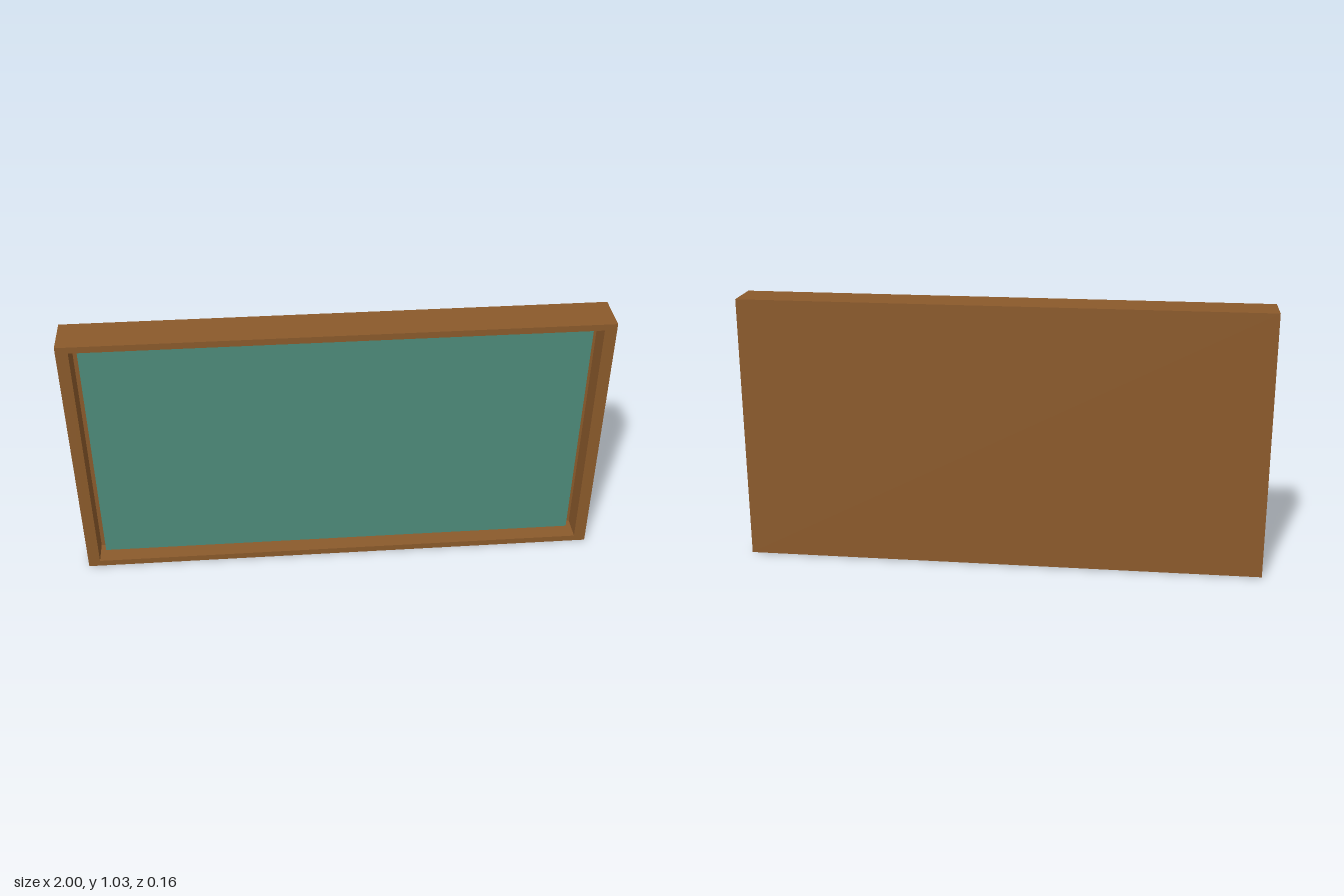
import * as THREE from 'three';

const WIDTH = 2, HEIGHT = 1.03;
const Z_BACK = -0.078, Z_PANEL = -0.016, Z_BOARD = 0.015, Z_FRONT = 0.078;

export function createModel() {
  const model = new THREE.Group();
  model.name = 'framedBoard';

  const wood = new THREE.MeshStandardMaterial({ color: 0x8b5a2b });
  wood.name = 'brown wood';
  const green = new THREE.MeshStandardMaterial({ color: 0x4d8b7a });
  green.name = 'board green';

  const add = (name, geometry, material) => {
    const mesh = new THREE.Mesh(geometry, material);
    mesh.name = name;
    model.add(mesh);
  };

  // Box spanning the given heights and depths, centred on x
  const slab = (width, y0, y1, z0, z1) =>
    new THREE.BoxGeometry(width, y1 - y0, z1 - z0)
      .translate(0, (y0 + y1) / 2, (z0 + z1) / 2);

  const rectangle = (path, halfWidth, y0, y1) => {
    path.moveTo(-halfWidth, y0);
    path.lineTo(halfWidth, y0);
    path.lineTo(halfWidth, y1);
    path.lineTo(-halfWidth, y1);
    path.closePath();
    return path;
  };

  // Frame: rectangular ring with wider side bars
  const outline = rectangle(new THREE.Shape(), WIDTH / 2, 0, HEIGHT);
  outline.holes.push(rectangle(new THREE.Path(), 0.955, 0.025, 1.005));
  const frame = new THREE.ExtrudeGeometry(outline, { depth: Z_FRONT - Z_PANEL, bevelEnabled: false });
  add('frame', frame.translate(0, 0, Z_PANEL), wood);

  // Backing panel, its lower edge just clear of the ground
  add('backPanel', slab(WIDTH, 0.003, HEIGHT, Z_BACK, Z_PANEL), wood);

  // Writing surface, with a narrow gap to the frame at each side
  add('writingBoard', slab(1.87, 0.025, 1.005, Z_PANEL, Z_BOARD), green);

  return model;
}
